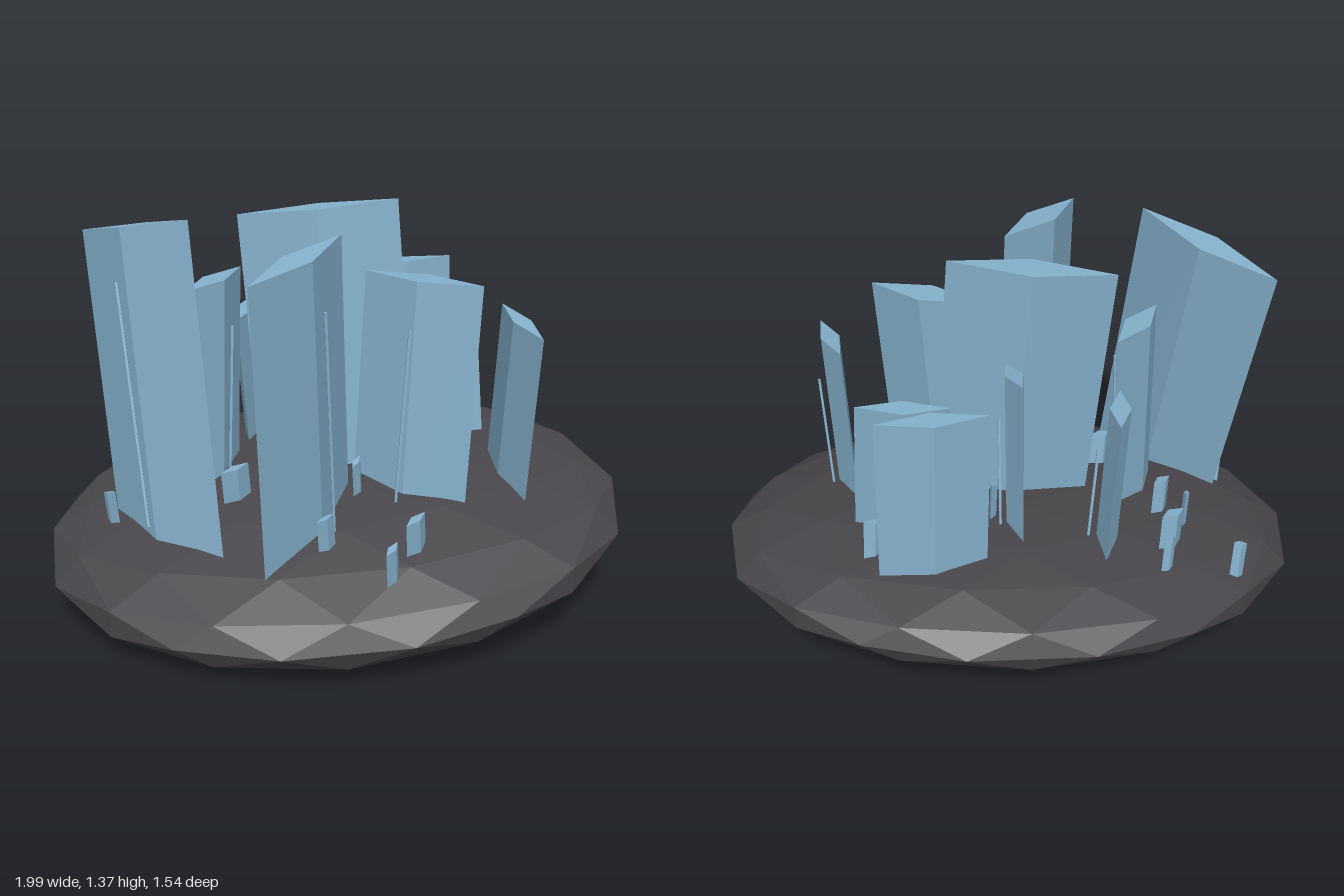
import * as THREE from 'three';

const stone = new THREE.MeshStandardMaterial({ color: 0x48464a });
stone.name = 'dark stone';
const ice = new THREE.MeshStandardMaterial({ color: 0x84b0cb });
ice.name = 'pale blue crystal';

// Tilted middle plane of the rock, and its upper surface
const midY = (x, z) => 0.25 + 0.07 * x - 0.137 * z;
const surfaceY = (x, z) =>
  midY(x, z) + 0.216 * Math.sqrt(Math.max(0, 1 - x * x - (z / 0.765) ** 2));

// Flattened, tilted, faceted rock
function makeRock() {
  const geo = new THREE.IcosahedronGeometry(1, 2);
  geo.rotateY(Math.PI / 2 - 0.05);
  const p = geo.attributes.position;
  for (let i = 0; i < p.count; i++) {
    const x = p.getX(i) * 1.017, z = p.getZ(i) * 0.778;
    p.setXYZ(i, x, midY(x, z) + p.getY(i) * 0.221, z);
  }
  geo.computeVertexNormals();
  const mesh = new THREE.Mesh(geo, stone);
  mesh.name = 'rockBase';
  return mesh;
}

// Leaning prism with a rhombic section: a and b are the far top corners,
// w the half thickness, dx and dz the shift of the foot, foot(x, z) its height
function makeCrystal(a, b, w, dx, dz, foot, name) {
  const A = new THREE.Vector3(...a), B = new THREE.Vector3(...b);
  const mid = A.clone().add(B).multiplyScalar(0.5);
  const side = new THREE.Vector3(A.z - B.z, 0, B.x - A.x).setLength(w);
  const top = [A, mid.clone().add(side), B, mid.clone().sub(side)];
  const bottom = top.map((v) => new THREE.Vector3(v.x + dx, foot(v.x + dx, v.z + dz), v.z + dz));
  const tris = [];
  const quad = (p, q, r, s) => tris.push(p, q, r, p, r, s);
  quad(...top);
  quad(...bottom.slice().reverse());
  for (let i = 0; i < 4; i++) {
    const j = (i + 1) % 4;
    quad(bottom[i], bottom[j], top[j], top[i]);
  }
  const geo = new THREE.BufferGeometry().setFromPoints(tris);
  geo.computeVertexNormals();
  const mesh = new THREE.Mesh(geo, ice);
  mesh.name = name;
  return { mesh, mid, side };
}

// Thin needle standing just off a crystal's broad side
function makeNeedle({ mid, side }, dx, dz) {
  const foot = mid.clone().addScaledVector(side, 1.7);
  const head = foot.clone();
  head.y = mid.y - 0.15;
  const h = head.y - 0.38;
  head.x += dx * 0.15;
  head.z += dz * 0.15;
  foot.set(foot.x + dx, 0.38, foot.z + dz);
  const mesh = new THREE.Mesh(new THREE.BoxGeometry(0.008, h, 0.008), ice);
  mesh.position.copy(head).add(foot).multiplyScalar(0.5);
  mesh.quaternion.setFromUnitVectors(new THREE.Vector3(0, 1, 0), head.sub(foot).normalize());
  mesh.name = 'needle';
  return mesh;
}

export function createModel() {
  const model = new THREE.Group();
  model.name = 'crystalCluster';
  model.add(makeRock());

  // Tall crystals: corner, corner, half thickness, foot shift x, foot shift z
  const tall = [
    [[-0.83, 1.27, -0.13], [-0.48, 1.37, 0.25], 0.055, 0.08, 0.2],
    [[-0.32, 1.25, 0.62], [-0.01, 1.31, 0.23], 0.055, 0.04, -0.08],
    [[-0.32, 1.315, -0.1], [0.21, 1.37, -0.03], 0.06, 0.08, 0.07],
    [[0.09, 1.155, 0.07], [0.435, 1.145, 0.285], 0.055, -0.05, 0.03],
    [[0.62, 0.98, 0.345], [0.56, 1.02, 0.04], 0.032, -0.02, -0.065],
    [[0.23, 0.96, -0.235], [0.53, 0.985, -0.22], 0.04, 0.04, 0.07],
    [[0.13, 1.06, -0.435], [0.48, 1.075, -0.455], 0.04, 0.02, 0.01],
    [[0.03, 1.0, -0.06], [0.01, 1.05, -0.29], 0.03, 0.01, -0.1],
    [[-0.5, 1.1, 0.07], [-0.31, 1.12, -0.18], 0.045, -0.03, 0.03],
    [[-0.33, 0.93, -0.17], [-0.28, 0.945, -0.4], 0.035, 0.05, -0.08],
    [[-0.21, 0.85, 0.2], [-0.13, 0.87, 0.02], 0.03, 0.01, 0.01],
  ];
  for (const [a, b, w, dx, dz] of tall) {
    const crystal = makeCrystal(a, b, w, dx, dz, midY, 'tallCrystal');
    model.add(crystal.mesh, makeNeedle(crystal, dx, dz));
  }

  // Small shards around the rock: x, z, half length, angle
  const shards = [
    [0.19, 0.52, 0.045, 0.7], [0.1, 0.62, 0.035, 0.9], [-0.09, 0.48, 0.03, 0.4],
    [-0.36, 0.17, 0.05, 0.4], [-0.49, -0.35, 0.055, 0.6], [-0.57, -0.23, 0.025, 1.2],
    [-0.5, -0.16, 0.045, 0.7], [-0.45, -0.47, 0.025, 0.5], [-0.7, -0.45, 0.025, 0.2],
    [0.5, -0.33, 0.035, 0.4], [0.25, -0.06, 0.03, 0.9], [0.31, -0.06, 0.02, 1.3],
    [0.09, -0.19, 0.03, 1.2], [0.04, 0.23, 0.03, 1.0], [-0.78, 0.12, 0.03, -0.8],
  ];
  for (const [x, z, r, angle] of shards) {
    const y = surfaceY(x, z) + 0.12;
    const cx = Math.cos(angle) * r, cz = -Math.sin(angle) * r;
    const foot = (px, pz) => surfaceY(px, pz) - 0.03;
    model.add(makeCrystal([x - cx, y - 0.01, z - cz], [x + cx, y + 0.01, z + cz],
      r * 0.4, 0.01, -0.02, foot, 'smallShard').mesh);
  }
  return model;
}
